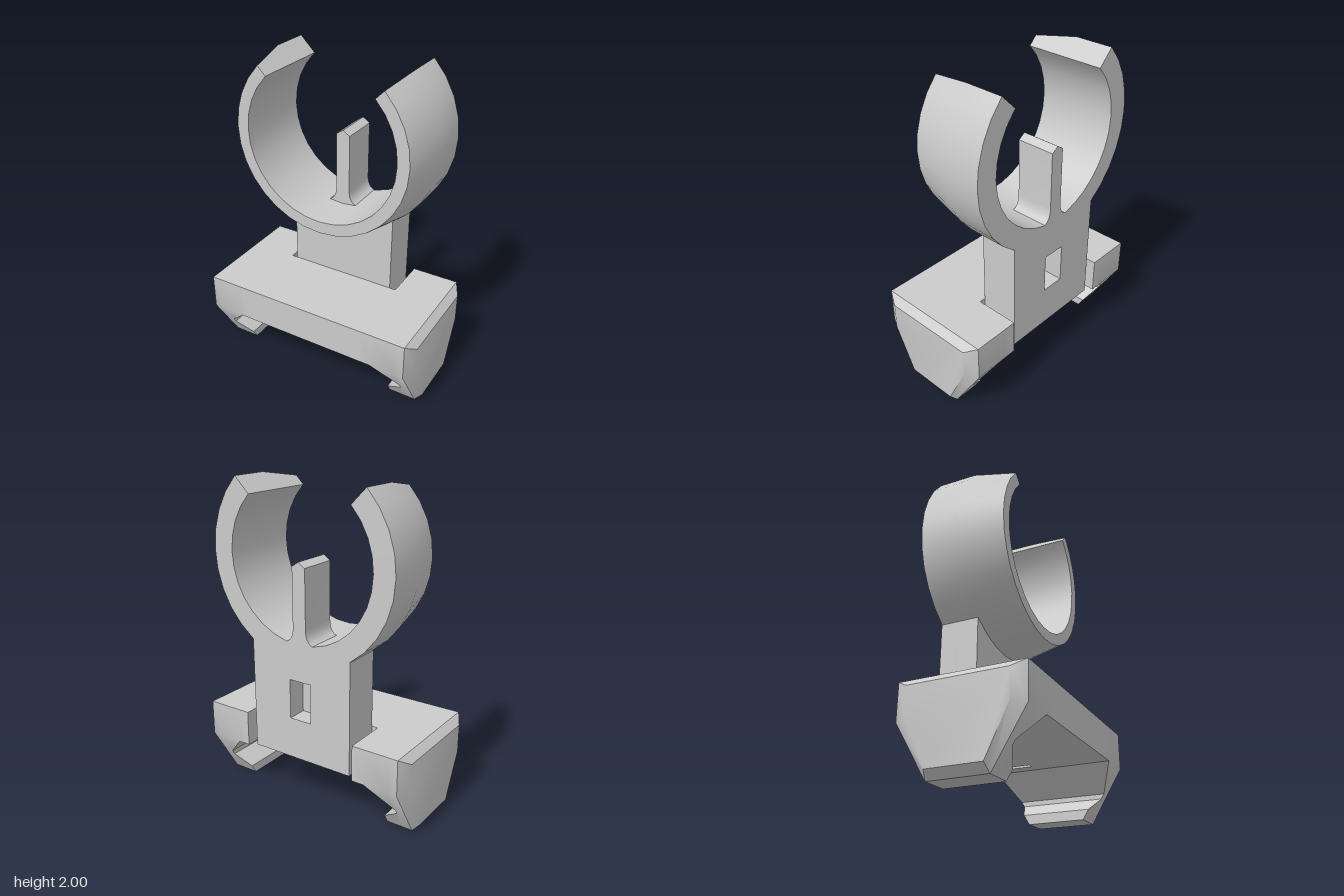
import * as THREE from 'three';
import { toCreasedNormals } from 'three/addons/utils/BufferGeometryUtils.js';

const material = new THREE.MeshStandardMaterial({ color: 0xcccccc });
const doubleSided = new THREE.MeshStandardMaterial({ color: 0xcccccc, side: THREE.DoubleSide });

function part(name, geometry, mat = material) {
  const mesh = new THREE.Mesh(toCreasedNormals(geometry, 0.6), mat);
  mesh.name = name;
  return mesh;
}

// Box given by its minimum and maximum corners
function box(x0, x1, y0, y1, z0, z1) {
  return new THREE.BoxGeometry(x1 - x0, y1 - y0, z1 - z0)
    .translate((x0 + x1) / 2, (y0 + y1) / 2, (z0 + z1) / 2);
}

function extrude(shape, z0, z1) {
  return new THREE.ExtrudeGeometry(shape, { depth: z1 - z0, bevelEnabled: false, curveSegments: 6 })
    .translate(0, 0, z0);
}

// Half depth of the clamp at a height: straight above, narrowing towards the foot
const SHOULDER = 0.33;
const halfDepth = (y) => 0.18 + 0.2 * Math.min(y / SHOULDER, 1);

// Six-sided cross-section at x, from bottom to top, with its depth scaled by k
function section([x, bottom, top, k = 1]) {
  const mid = Math.min(Math.max(SHOULDER, bottom), top);
  const [t, m, b] = [top, mid, bottom].map((y) => halfDepth(y) * k);
  return [[x, top, -t], [x, top, t], [x, mid, m], [x, bottom, b], [x, bottom, -b], [x, mid, -m]];
}

// Skin over cross-sections ordered along +x, closed at both ends
function loft(stations) {
  const rings = stations.map(section);
  const n = 6, index = [], last = (rings.length - 1) * n;
  for (let s = 0; s < rings.length - 1; s++) {
    for (let i = 0; i < n; i++) {
      const a = s * n + i, b = s * n + (i + 1) % n;
      index.push(a, b, b + n, a, b + n, a + n);
    }
  }
  for (let i = 1; i < n - 1; i++) {
    index.push(0, i + 1, i, last, last + i, last + i + 1);
  }
  const g = new THREE.BufferGeometry();
  g.setAttribute('position', new THREE.Float32BufferAttribute(rings.flat(2), 3));
  g.setIndex(index);
  return g;
}

// One clamp arm with its inward hook
function clampArm(name) {
  const arm = new THREE.Group();
  arm.name = name;
  arm.add(part('clampSide', loft([
    [0.39, 0.33, 0.555], [0.47, 0.33, 0.555], [0.63, 0.17, 0.555],
    [0.63, 0, 0.555], [0.69, 0, 0.555], [0.735, 0.05, 0.51, 0.79],
  ])));
  arm.add(part('clampHook', loft([[0.52, 0, 0.06], [0.63, 0, 0.14]])));
  return arm;
}

// Open ring: constant bore, outside tapering towards the front
function openRing() {
  const ring = new THREE.Group();
  ring.name = 'openRing';
  const profile = [[0.49, -0.345], [0.625, -0.345], [0.625, -0.1], [0.565, 0.17], [0.49, 0.17]]
    .map(([r, h]) => new THREE.Vector2(r, h));
  const band = new THREE.LatheGeometry([...profile, profile[0]], 24, -Math.PI * 0.75, Math.PI * 1.5);
  ring.add(part('ringBand', band.rotateX(Math.PI / 2)));
  for (const angle of [Math.PI / 4, Math.PI * 0.75]) {
    const cap = new THREE.ShapeGeometry(new THREE.Shape(profile));
    ring.add(part('ringEnd', cap.rotateX(Math.PI / 2).rotateZ(angle), doubleSided));
  }
  ring.position.y = 1.56;
  return ring;
}

// Post with a rectangular pocket in its back
function post() {
  const g = new THREE.Group();
  g.name = 'post';
  const rect = (Type, x, y0, y1) => new Type([[-x, y0], [x, y0], [x, y1], [-x, y1]]
    .map(([px, py]) => new THREE.Vector2(px, py)));
  const back = rect(THREE.Shape, 0.35, 0.33, 1.04);
  back.holes.push(rect(THREE.Path, 0.075, 0.59, 0.84));
  g.add(part('postBack', extrude(back, -0.345, -0.22)));
  g.add(part('postFront', box(-0.35, 0.35, 0.33, 1.04, -0.22, -0.1)));
  return g;
}

// Upright blade with a pointed top and flared foot
function blade() {
  const s = new THREE.Shape();
  s.moveTo(-0.1, 1.06);
  s.lineTo(0.1, 1.06);
  s.lineTo(0.09, 1.08);
  s.quadraticCurveTo(0.045, 1.1, 0.045, 1.17);
  s.lineTo(0.045, 1.53);
  s.lineTo(0, 1.56);
  s.lineTo(-0.045, 1.53);
  s.lineTo(-0.045, 1.17);
  s.quadraticCurveTo(-0.045, 1.1, -0.09, 1.08);
  return part('blade', extrude(s, -0.345, -0.1));
}

export function createModel() {
  const model = new THREE.Group();
  model.name = 'ringMount';

  // Clamp base, cut away at the back to clear the post
  model.add(part('clampBridge', box(-0.39, 0.39, 0.33, 0.555, -0.1, 0.38)));
  const left = clampArm('leftClampArm');
  const right = clampArm('rightClampArm');
  right.rotation.y = Math.PI;
  model.add(left, right);

  model.add(post(), openRing(), blade());
  return model;
}
